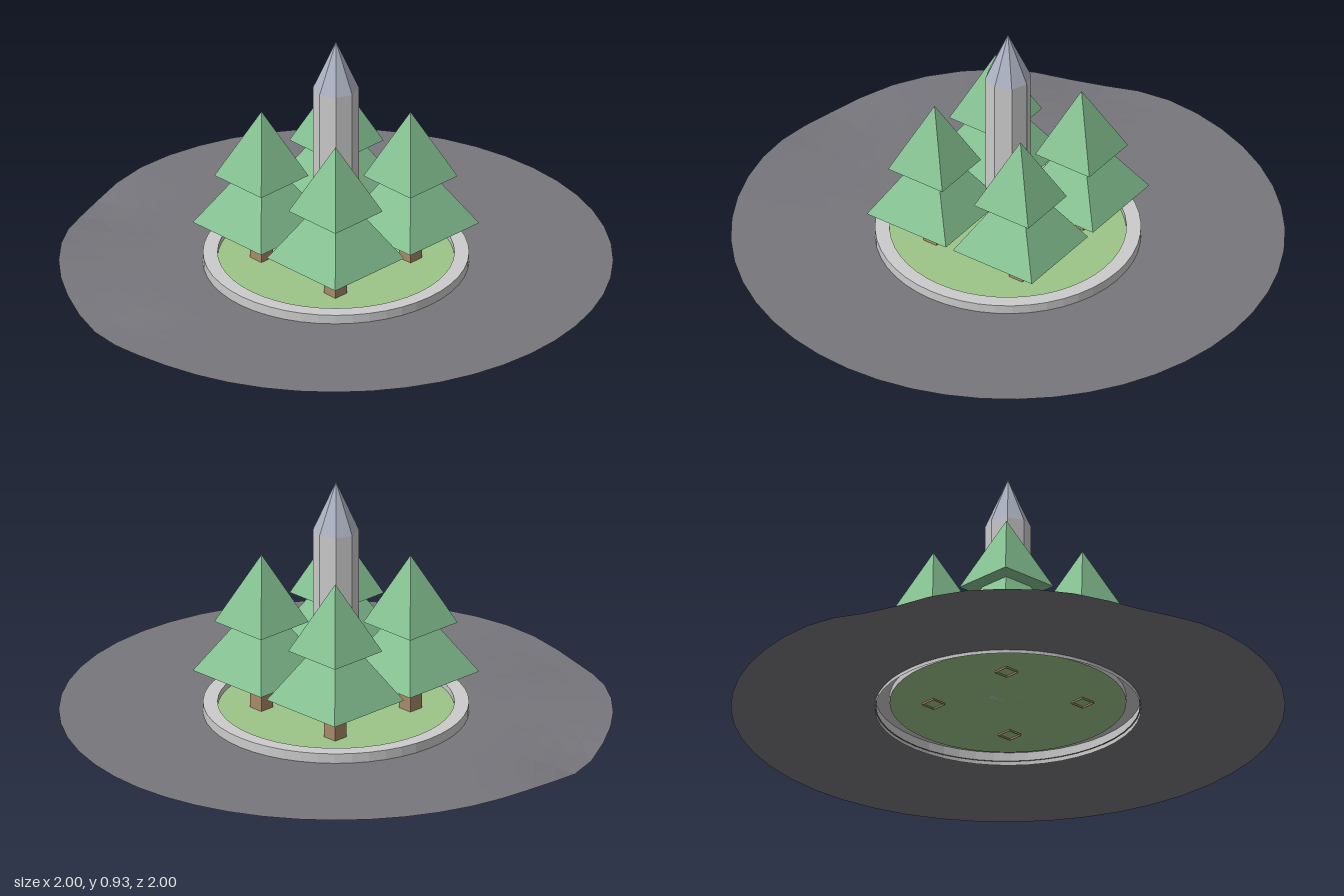
import * as THREE from 'three';

const mat = (color, side = THREE.FrontSide) =>
  new THREE.MeshStandardMaterial({ color, side, flatShading: true });

function add(parent, name, geometry, material, y = 0) {
  const mesh = new THREE.Mesh(geometry, material);
  mesh.name = name;
  mesh.position.y = y;
  parent.add(mesh);
  return mesh;
}

// Road height: nearly level, with two dips at the outer edge
function roadHeight(x, z) {
  const dip = (cx, cz, size, depth) =>
    depth * Math.exp(-((x - cx) ** 2 + (z - cz) ** 2) / (size * size));
  const y = 0.038 + 0.006 * Math.max(0, x)
    - dip(-0.98, 0.33, 0.2, 0.034) - dip(-0.25, 0.97, 0.22, 0.024);
  return Math.max(0, y);
}

// Square pyramid with sides parallel to the axes
function pyramid(half, height) {
  return new THREE.ConeGeometry(half * Math.SQRT2, height, 4).rotateY(Math.PI / 4);
}

export function createModel() {
  const model = new THREE.Group();
  const stone = mat(0xcccccc, THREE.DoubleSide);
  const asphalt = mat(0x77767c, THREE.DoubleSide);
  const lawn = mat(0x9cc488, THREE.DoubleSide);
  const slate = mat(0xacb2c2);
  const bark = mat(0xa98a68, THREE.DoubleSide);
  const leaves = mat(0x86c292);

  // Ring road with a hole for the island
  const road = new THREE.RingGeometry(0.475, 1, 48, 6).rotateX(-Math.PI / 2);
  const p = road.attributes.position;
  for (let i = 0; i < p.count; i++) p.setY(i, roadHeight(p.getX(i), p.getZ(i)));
  road.computeVertexNormals();
  add(model, 'road', road, asphalt);

  // Kerb, open underneath: outer wall, top and inner lip
  const profile = [[0.48, 0.025], [0.48, 0.075], [0.427, 0.075], [0.427, 0.052]]
    .map(([r, y]) => new THREE.Vector2(r, y));
  add(model, 'kerb', new THREE.LatheGeometry(profile, 48), stone);
  add(model, 'grass', new THREE.CircleGeometry(0.427, 48).rotateX(-Math.PI / 2), lawn, 0.052);

  // Octagonal pillar with a pointed cap
  add(model, 'pillar', new THREE.CylinderGeometry(0.083, 0.083, 0.698, 8), stone, 0.401);
  add(model, 'pillarCap', new THREE.ConeGeometry(0.083, 0.187, 8), slate, 0.8435);

  // Four trees, one in each quarter
  for (const x of [-0.19, 0.19]) {
    for (const z of [-0.19, 0.19]) {
      const tree = new THREE.Group();
      tree.name = 'tree';
      tree.position.set(x, 0, z);
      const r = 0.029 * Math.SQRT2;
      const trunk = new THREE.CylinderGeometry(r, r, 0.16, 4, 1, true).rotateY(Math.PI / 4);
      add(tree, 'trunk', trunk, bark, 0.125);
      add(tree, 'lowerBranches', pyramid(0.175, 0.295), leaves, 0.195 + 0.1475);
      add(tree, 'upperBranches', pyramid(0.12, 0.263), leaves, 0.387 + 0.1315);
      model.add(tree);
    }
  }
  return model;
}
